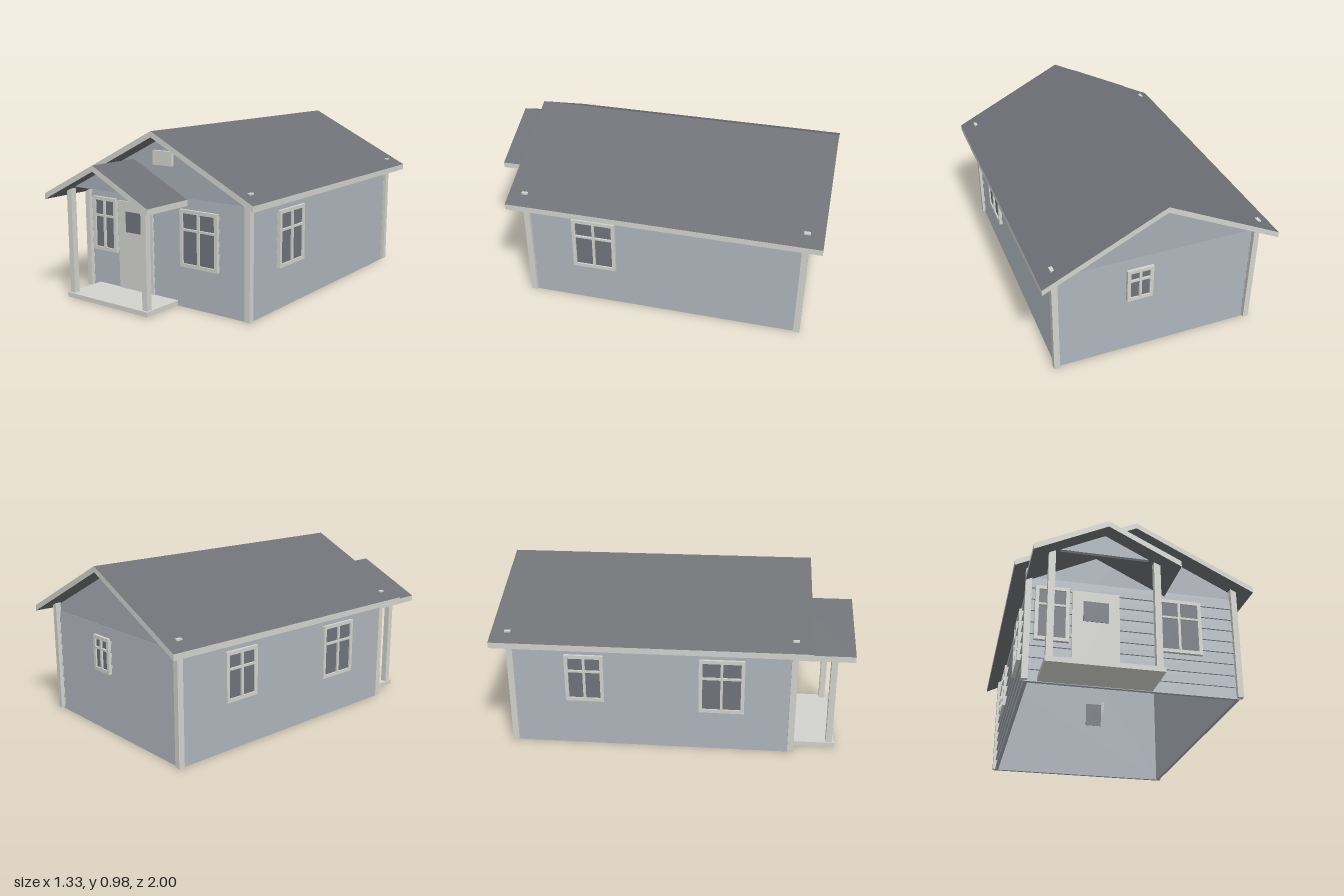
import * as THREE from 'three';

const mat = (name, color) => {
  const m = new THREE.MeshStandardMaterial({ color });
  m.name = name;
  return m;
};

export function createModel() {
  const wallMat = mat('wall blue grey', 0xa6acb4);
  const trimMat = mat('trim off white', 0xd2d2cd);
  const roofMat = mat('roof charcoal', 0x6f7075);
  const glassMat = mat('window glass', 0x70737c);

  const house = new THREE.Group();
  house.name = 'house';

  const add = (parent, name, geo, material) => {
    const m = new THREE.Mesh(geo, material);
    m.name = name;
    parent.add(m);
    return m;
  };

  // Box given by its minimum and maximum along each axis
  const box = (parent, name, material, [x0, x1], [y0, y1], [z0, z1]) => {
    const geo = new THREE.BoxGeometry(x1 - x0, y1 - y0, z1 - z0);
    geo.translate((x0 + x1) / 2, (y0 + y1) / 2, (z0 + z1) / 2);
    return add(parent, name, geo, material);
  };

  const SLOPE = 0.495, MID_Z = -0.115;
  const HALF_X = 0.568, HALF_Z = 0.778; // base plane of the walls
  const INNER = -0.008;

  // Lap siding: a sawtooth profile run along the wall
  const siding = (parent, length) => {
    const boards = 9, h = 0.068;
    const profile = new THREE.Shape();
    profile.moveTo(0, 0);
    for (let i = 0; i < boards; i++) {
      profile.lineTo(0.012, i * h);
      profile.lineTo(0.002, (i + 1) * h);
    }
    profile.lineTo(0, boards * h);
    const geo = new THREE.ExtrudeGeometry(profile, { depth: length, bevelEnabled: false });
    geo.rotateY(-Math.PI / 2);
    geo.translate(length / 2, 0, 0);
    add(parent, 'siding', geo, wallMat);
  };

  // Framed window with a cross of bars; x is the centre along the wall
  const windowUnit = (parent, x, w, y0, y1) => {
    const g = new THREE.Group();
    g.name = 'window';
    parent.add(g);
    const f = 0.02, l = x - w / 2, r = x + w / 2, depth = [INNER, 0.027];
    for (const [a, b] of [[l, l + f], [r - f, r]]) box(g, 'frameSide', trimMat, [a, b], [y0, y1], depth);
    for (const [a, b] of [[y0, y0 + f], [y1 - f, y1]]) box(g, 'frameRail', trimMat, [l + f, r - f], [a, b], depth);
    box(g, 'glass', glassMat, [l + f, r - f], [y0 + f, y1 - f], [INNER - 0.001, 0.018]);
    const barY = y0 + (y1 - y0) * 0.655;
    box(g, 'uprightBar', trimMat, [x - 0.007, x + 0.007], [y0 + f, y1 - f], [0.017, 0.029]);
    box(g, 'crossBar', trimMat, [l + f, r - f], [barY - 0.006, barY + 0.006], [0.017, 0.029]);
  };

  // Wall group whose local +z points outward
  const wall = (name, angle, offset, halfLength, gabled) => {
    const g = new THREE.Group();
    g.name = name;
    g.rotation.y = angle;
    g.position.set(Math.sin(angle) * offset, 0, MID_Z + Math.cos(angle) * offset);
    house.add(g);
    const s = new THREE.Shape();
    s.moveTo(-halfLength, 0);
    s.lineTo(halfLength, 0);
    s.lineTo(halfLength, 0.655);
    if (gabled) s.lineTo(0, 0.655 + SLOPE * halfLength);
    s.lineTo(-halfLength, 0.655);
    const geo = new THREE.ExtrudeGeometry(s, { depth: -INNER, bevelEnabled: false });
    geo.translate(0, 0, INNER);
    add(g, 'panel', geo, wallMat);
    siding(g, halfLength * 2 + 0.02);
    return g;
  };

  const front = wall('frontWall', 0, HALF_Z, HALF_X, true);
  const back = wall('backWall', Math.PI, HALF_Z, HALF_X, true);
  const left = wall('leftWall', Math.PI / 2, HALF_X, HALF_Z, false);
  const right = wall('rightWall', -Math.PI / 2, HALF_X, HALF_Z, false);

  windowUnit(front, -0.4475, 0.185, 0.235, 0.555);
  windowUnit(front, 0.2525, 0.255, 0.235, 0.555);
  windowUnit(back, -0.1, 0.15, 0.35, 0.555);
  windowUnit(left, -0.397, 0.255, 0.235, 0.555);
  windowUnit(right, 0.397, 0.255, 0.235, 0.555);
  windowUnit(right, -0.375, 0.22, 0.275, 0.555);

  // Door and gable vent
  box(front, 'door', trimMat, [-0.34, -0.08], [0.03, 0.55], [INNER - 0.001, 0.02]);
  box(front, 'doorGlass', glassMat, [-0.28, -0.14], [0.37, 0.49], [0.018, 0.023]);
  box(front, 'gableVent', trimMat, [-0.067, 0.067], [0.78, 0.86], [0, 0.02]);

  // Corner boards, their tops just breaking through the roof
  for (const sx of [-1, 1]) for (const sz of [-1, 1]) {
    const post = box(house, 'cornerBoard', trimMat, [-0.0165, 0.0165], [0.006, 0.69], [-0.0175, 0.0175]);
    post.position.set(sx * 0.5785, 0, MID_Z + sz * 0.7925);
  }

  // Gable roof: two sheared slabs, dark above and below with pale edges
  const roof = (name, cx, ridge, halfWidth, z0, z1) => {
    const g = new THREE.Group();
    g.name = name;
    house.add(g);
    for (const s of [-1, 1]) {
      const geo = new THREE.BoxGeometry(halfWidth, 0.033, z1 - z0);
      geo.translate((s * halfWidth) / 2, -0.0165, 0);
      const p = geo.attributes.position;
      for (let i = 0; i < p.count; i++) p.setY(i, p.getY(i) - SLOPE * Math.abs(p.getX(i)));
      geo.computeVertexNormals();
      const slab = add(g, 'roofSlope', geo, [trimMat, trimMat, roofMat, roofMat, trimMat, trimMat]);
      slab.position.set(cx, ridge, (z0 + z1) / 2);
    }
  };
  roof('mainRoof', 0, 0.975, 0.665, -1, 0.77);
  roof('porchRoof', -0.21, 0.8, 0.385, 0.68, 1);

  // Porch floor, posts and gable panel
  box(house, 'porchFloor', trimMat, [-0.512, 0.095], [0.003, 0.03], [0.675, 0.93]);
  for (const x of [-0.488, 0.068]) {
    box(house, 'porchPost', trimMat, [x - 0.0175, x + 0.0175], [0.03, 0.637], [0.882, 0.917]);
  }
  const gable = new THREE.Shape();
  gable.moveTo(-0.25, 0.65);
  gable.lineTo(0.25, 0.65);
  gable.lineTo(0, 0.775);
  const gableGeo = new THREE.ExtrudeGeometry(gable, { depth: 0.02, bevelEnabled: false });
  add(house, 'porchGable', gableGeo, wallMat).position.set(-0.21, 0, 0.89);

  return house;
}
